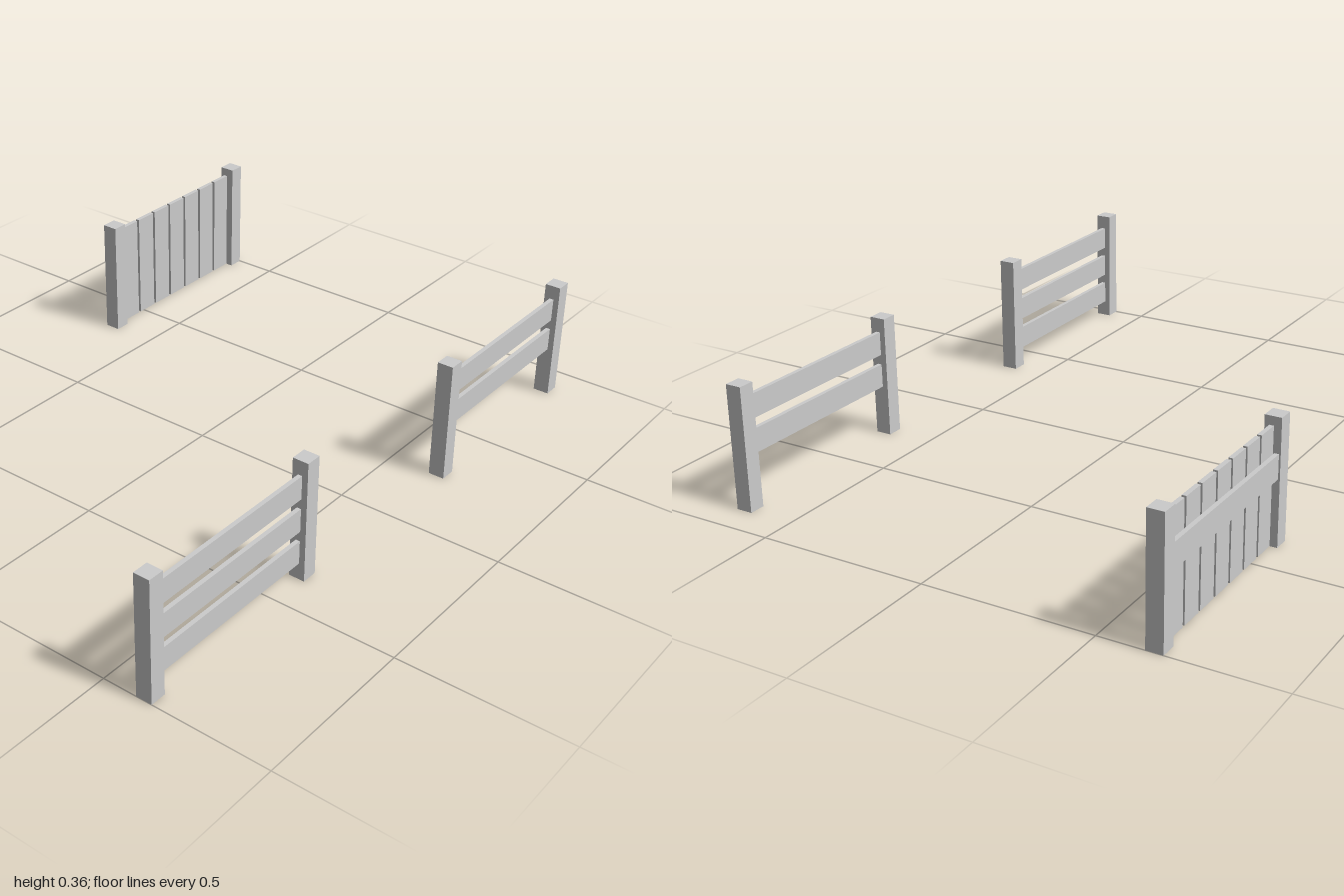
import * as THREE from 'three';

const material = new THREE.MeshStandardMaterial({ color: 0xcccccc, flatShading: true });
const POST = 0.048, HEIGHT = 0.363, THICK = 0.013;

function box(parent, name, size, position) {
  const mesh = new THREE.Mesh(new THREE.BoxGeometry(...size), material);
  mesh.name = name;
  mesh.position.set(...position);
  parent.add(mesh);
}

// Two posts, with rails between them at the given heights
function fence(name, x, z, span, rails, railX = 0) {
  const group = new THREE.Group();
  group.name = name;
  group.position.set(x, 0, z);
  for (const side of [-1, 1]) {
    box(group, 'post', [POST, HEIGHT, POST], [0, HEIGHT / 2, side * span / 2]);
  }
  for (const y of rails) box(group, 'rail', [THICK, 0.07, span - POST], [railX, y, 0]);
  return group;
}

export function createModel() {
  const model = new THREE.Group();
  model.name = 'fenceSet';

  // Open fences with three and two rails
  model.add(fence('threeRailFence', 0.627, 0.671, 0.61, [0.085, 0.185, 0.285]));
  model.add(fence('twoRailFence', 0.654, -0.578, 0.61, [0.185, 0.285]));

  // Boarded fence: vertical slats in front of a single backing rail
  const boarded = fence('slatFence', -0.656, -0.671, 0.61, [0.228], -0.0125);
  for (let i = -3; i <= 3; i++) {
    box(boarded, 'slat', [THICK, 0.336, 0.07], [0.0005, 0.173, i * 0.0793]);
  }
  model.add(boarded);
  return model;
}
